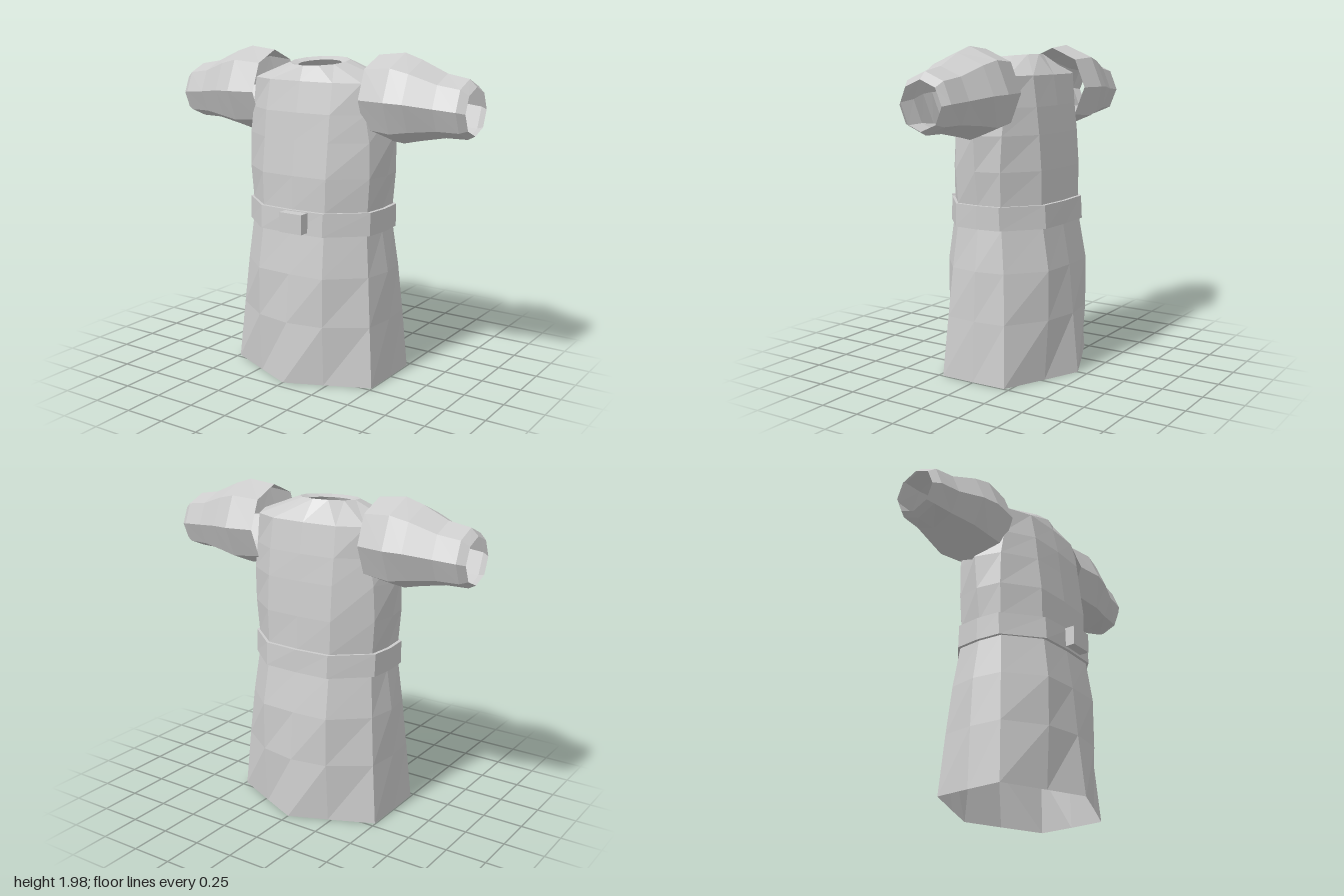
import * as THREE from 'three';

// Skin a stack of closed rings (equal point counts) with quads
function loft(rings, closeStack = false) {
  const n = rings[0].length, pos = rings.flat(2), idx = [];
  const spans = closeStack ? rings.length : rings.length - 1;
  for (let i = 0; i < spans; i++) {
    const lo = i * n, hi = ((i + 1) % rings.length) * n;
    for (let j = 0; j < n; j++) {
      const k = (j + 1) % n;
      idx.push(lo + j, lo + k, hi + k, lo + j, hi + k, hi + j);
    }
  }
  const geo = new THREE.BufferGeometry();
  geo.setAttribute('position', new THREE.Float32BufferAttribute(pos, 3));
  geo.setIndex(idx);
  const flat = geo.toNonIndexed();
  flat.computeVertexNormals();
  return flat;
}

// Twelve-point body ring: front centre, front panel edge, corner, side middle, mirrored
function bodyRing([y, x1, x2, x3, z0, z1, z2, cz], grow = 0) {
  const quarter = [[0, z0 + grow], [x1, z1 + grow], [x2 + grow, z2], [x3 + grow, 0]];
  const right = [...quarter, ...quarter.slice(0, 3).reverse().map(([x, z]) => [x, -z])];
  const left = right.slice(1, 6).reverse().map(([x, z]) => [-x, z]);
  return [...right, ...left].map(([x, z]) => [x, y, z + cz]);
}

// Round collar ring, tilted down toward the front
function neckRing(r, drop) {
  return Array.from({ length: 12 }, (_, i) => {
    const t = i / 12 * Math.PI * 2;
    const z = 0.03 + r * Math.cos(t);
    return [r * Math.sin(t), 1.927 - 0.09 * z - drop, z];
  });
}

// Eight-sided sleeve ring from its top, bottom, back and front extents
function sleeveRing([x, top, bottom, back, front], side) {
  const cy = (top + bottom) / 2, cz = (front + back) / 2;
  return Array.from({ length: 8 }, (_, i) => {
    const t = side * i / 8 * Math.PI * 2;
    return [side * x, cy + (top - bottom) / 2 * Math.cos(t), cz + (front - back) / 2 * Math.sin(t)];
  });
}

export function createModel() {
  const group = new THREE.Group();
  const cloth = new THREE.MeshStandardMaterial({ color: 0xcccccc, flatShading: true, side: THREE.DoubleSide });
  cloth.name = 'greyCloth';
  const add = (name, geo) => {
    const mesh = new THREE.Mesh(geo, cloth);
    mesh.name = name;
    group.add(mesh);
    return mesh;
  };

  // Skirt and torso: y, x of panel edge, corner, side; z of centre, panel edge, corner; z shift
  const waistLow = [0.93, 0.22, 0.415, 0.43, 0.33, 0.32, 0.155, 0.005];
  const waistHigh = [1.07, 0.22, 0.415, 0.43, 0.325, 0.31, 0.15, 0.005];
  const skirt = [
    [0.01, 0.23, 0.495, 0.498, 0.44, 0.34, 0.22, 0.003],
    [0.38, 0.23, 0.465, 0.485, 0.40, 0.36, 0.2, 0],
    [0.68, 0.23, 0.44, 0.47, 0.372, 0.36, 0.18, 0],
    waistLow,
    waistHigh,
  ];
  const torso = [
    waistHigh,
    [1.27, 0.225, 0.43, 0.46, 0.32, 0.31, 0.155, 0.005],
    [1.48, 0.225, 0.425, 0.48, 0.3, 0.29, 0.16, 0],
    [1.64, 0.225, 0.4, 0.475, 0.283, 0.272, 0.165, 0],
    [1.82, 0.22, 0.375, 0.46, 0.25, 0.24, 0.17, -0.005],
  ];
  add('skirt', loft(skirt.map(r => bodyRing(r))));
  add('torso', loft([...torso.map(r => bodyRing(r)), neckRing(0.18, 0)]));
  add('collar', loft([neckRing(0.18, 0), neckRing(0.132, 0.015)]));

  // Belt band with real thickness, and its buckle
  add('belt', loft([
    bodyRing(waistLow, -0.01), bodyRing(waistLow, 0.02),
    bodyRing(waistHigh, 0.022), bodyRing(waistHigh, -0.01),
  ], true));
  add('buckle', new THREE.BoxGeometry(0.155, 0.12, 0.075)).position.set(0.042, 1.005, 0.375);

  // Open sleeves: x, top, bottom, back, front
  const sleeve = [
    [0.375, 1.972, 1.485, -0.26, 0.21],
    [0.55, 1.99, 1.465, -0.29, 0.235],
    [0.66, 1.955, 1.49, -0.265, 0.215],
    [0.82, 1.885, 1.52, -0.215, 0.158],
    [0.955, 1.862, 1.522, -0.195, 0.142],
    [1, 1.82, 1.545, -0.165, 0.112],
  ];
  for (const [name, side] of [['leftSleeve', 1], ['rightSleeve', -1]]) {
    add(name, loft(sleeve.map(r => sleeveRing(r, side))));
  }
  return group;
}
